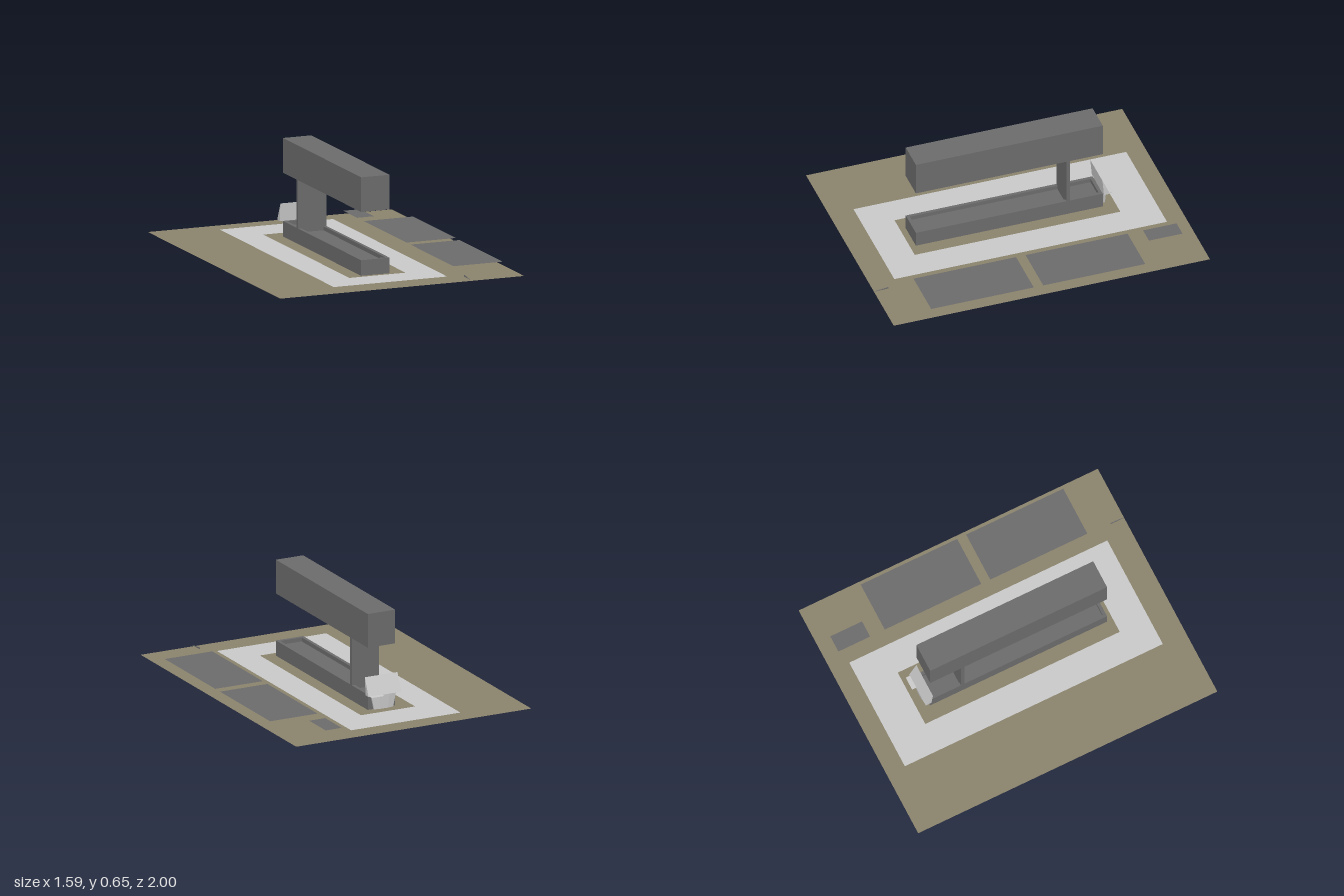
import * as THREE from 'three';

const material = (name, color, side = THREE.FrontSide) => {
  const m = new THREE.MeshStandardMaterial({ color, side });
  m.name = name;
  return m;
};

export function createModel() {
  const group = new THREE.Group();
  const earth = material('earth brown', 0x8a826b, THREE.DoubleSide);
  const grey = material('dark grey', 0x6b6b6b, THREE.DoubleSide);
  const pale = material('pale grey', 0xc8c8c8, THREE.DoubleSide);

  const add = (name, geometry, mat, parent = group) => {
    const mesh = new THREE.Mesh(geometry, mat);
    mesh.name = name;
    parent.add(mesh);
    return mesh;
  };

  // Rectangle outline in x and z, for flat sheets and rims
  const corners = (x0, x1, z0, z1) =>
    [[x0, -z1], [x1, -z1], [x1, -z0], [x0, -z0]].map(p => new THREE.Vector2(...p));
  const frame = (outer, inner) => {
    const shape = new THREE.Shape(corners(...outer));
    if (inner) shape.holes.push(new THREE.Path(corners(...inner)));
    return shape;
  };
  const sheet = (name, y, mat, outer, inner) => {
    const g = new THREE.ShapeGeometry(frame(outer, inner)).rotateX(-Math.PI / 2);
    add(name, g.translate(0, y, 0), mat);
  };
  const box = (name, x0, x1, y0, y1, z0, z1, mat, parent) =>
    add(name, new THREE.BoxGeometry(x1 - x0, y1 - y0, z1 - z0)
      .translate((x0 + x1) / 2, (y0 + y1) / 2, (z0 + z1) / 2), mat, parent);

  // Ground, path and slabs
  sheet('ground', 0.05, earth, [-0.795, 0.79, -1, 1]);
  sheet('path', 0.053, pale, [-0.38, 0.357, -0.88, 0.845], [-0.195, 0.17, -0.65, 0.65]);
  sheet('frontSlab', 0.09, grey, [0.437, 0.757, 0.103, 0.752]);
  sheet('middleSlab', 0.09, grey, [0.437, 0.757, -0.602, 0.043]);
  sheet('smallSlab', 0.09, grey, [0.437, 0.545, -0.912, -0.7]);

  // Two long blocks, each with a shallow recess facing the other
  const [x0, x1, z0, z1] = [-0.102, 0.082, -0.57, 0.612];
  const lip = 0.02, recess = 0.025;
  const block = (name, y0, y1, up) => {
    const part = new THREE.Group();
    part.name = name;
    group.add(part);
    box(name + 'Body', x0, x1, up ? y0 : y0 + recess, up ? y1 - recess : y1, z0, z1, grey, part);
    const rim = new THREE.ExtrudeGeometry(
      frame([x0, x1, z0, z1], [x0 + lip, x1 - lip, z0 + lip, z1 - lip]),
      { depth: recess, bevelEnabled: false });
    rim.rotateX(-Math.PI / 2).translate(0, up ? y1 - recess : y0, 0);
    add(name + 'Rim', rim, grey, part);
  };
  block('lowerTrough', 0, 0.145, true);
  block('upperBeam', 0.44, 0.652, false);

  // Upright panel between them
  box('supportPanel', x0, x1, 0.12, 0.465, -0.364, -0.341, grey);

  // Prism along x from a profile of [z, y] points
  const prism = (name, xa, xb, profile, mat) => {
    const shape = new THREE.Shape(profile.map(([z, y]) => new THREE.Vector2(-z, y)));
    const g = new THREE.ExtrudeGeometry(shape, { depth: xb - xa, bevelEnabled: false });
    add(name, g.rotateY(Math.PI / 2).translate(xa, 0, 0), mat);
  };
  // Leaning back plate with its small shelf
  prism('leaningPlate', -0.122, 0.098, [[-0.562, 0.255], [-0.572, 0.145], [-0.61, 0.145]], pale);
  prism('shelf', 0.005, 0.09, [[-0.6, 0.148], [-0.6, 0.142], [-0.637, 0.145]], pale);

  // Tapered basin below the plate
  const basin = new THREE.CylinderGeometry(0.09, 0.07, 0.09, 8).toNonIndexed();
  basin.rotateY(Math.PI / 8).scale(1, 1, 0.18).translate(-0.012, 0.1, -0.589);
  basin.computeVertexNormals();
  add('basin', basin, pale);

  // Small marker wedge by the front edge
  prism('markerWedge', 0.438, 0.442, [[0.998, 0.058], [0.91, 0.069], [0.91, 0.06]], grey);

  return group;
}
